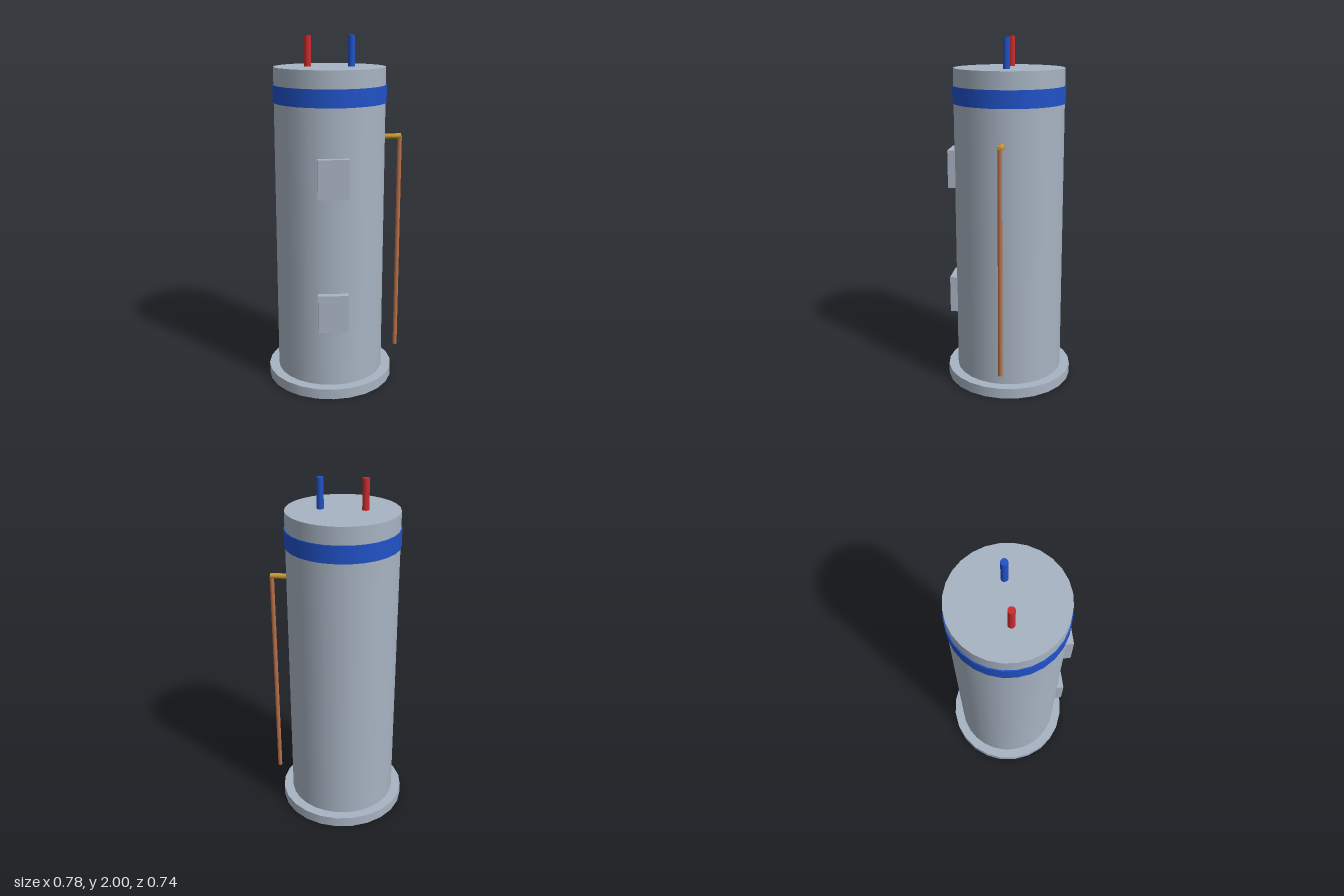
import * as THREE from 'three';

const material = (name, color) => {
  const m = new THREE.MeshStandardMaterial({ color });
  m.name = name;
  return m;
};

export function createModel() {
  const model = new THREE.Group();
  model.name = 'waterHeater';

  const steel = material('greySteel', 0xa8b4c3);
  const blue = material('blue', 0x2152c8);
  const red = material('red', 0xcb2c2e);
  const brass = material('brass', 0xc8962a);
  const copper = material('copper', 0xba7148);

  const cx = -0.022; // tank axis, offset by the side pipe

  const add = (name, geometry, mat, x, y, z) => {
    const mesh = new THREE.Mesh(geometry, mat);
    mesh.name = name;
    mesh.position.set(x, y, z);
    model.add(mesh);
    return mesh;
  };

  // Upright cylinder between two heights
  const column = (name, mat, radius, y0, y1, x, sides) =>
    add(name, new THREE.CylinderGeometry(radius, radius, y1 - y0, sides), mat, x, (y0 + y1) / 2, 0);

  // Tank
  column('base', steel, 0.368, 0, 0.06, cx, 24);
  column('tank', steel, 0.311, 0.06, 1.832, cx, 28);
  column('band', blue, 0.317, 1.64, 1.736, cx, 28);

  // Water pipes on the lid
  column('hotPipe', red, 0.019, 1.832, 2, -0.143, 16);
  column('coldPipe', blue, 0.019, 1.832, 2, 0.098, 16);

  // Access panels on the front
  for (const [name, y] of [['lowerPanel', 0.508], ['upperPanel', 1.267]]) {
    add(name, new THREE.BoxGeometry(0.168, 0.216, 0.05), steel, cx, y, 0.317);
  }

  // Relief valve and its discharge pipe
  const valve = add('reliefValve', new THREE.CylinderGeometry(0.0155, 0.0155, 0.1, 12), brass, 0.332, 1.443, 0);
  valve.rotation.z = Math.PI / 2;
  column('dischargePipe', copper, 0.0125, 0.16, 1.443, 0.375, 12);

  return model;
}
